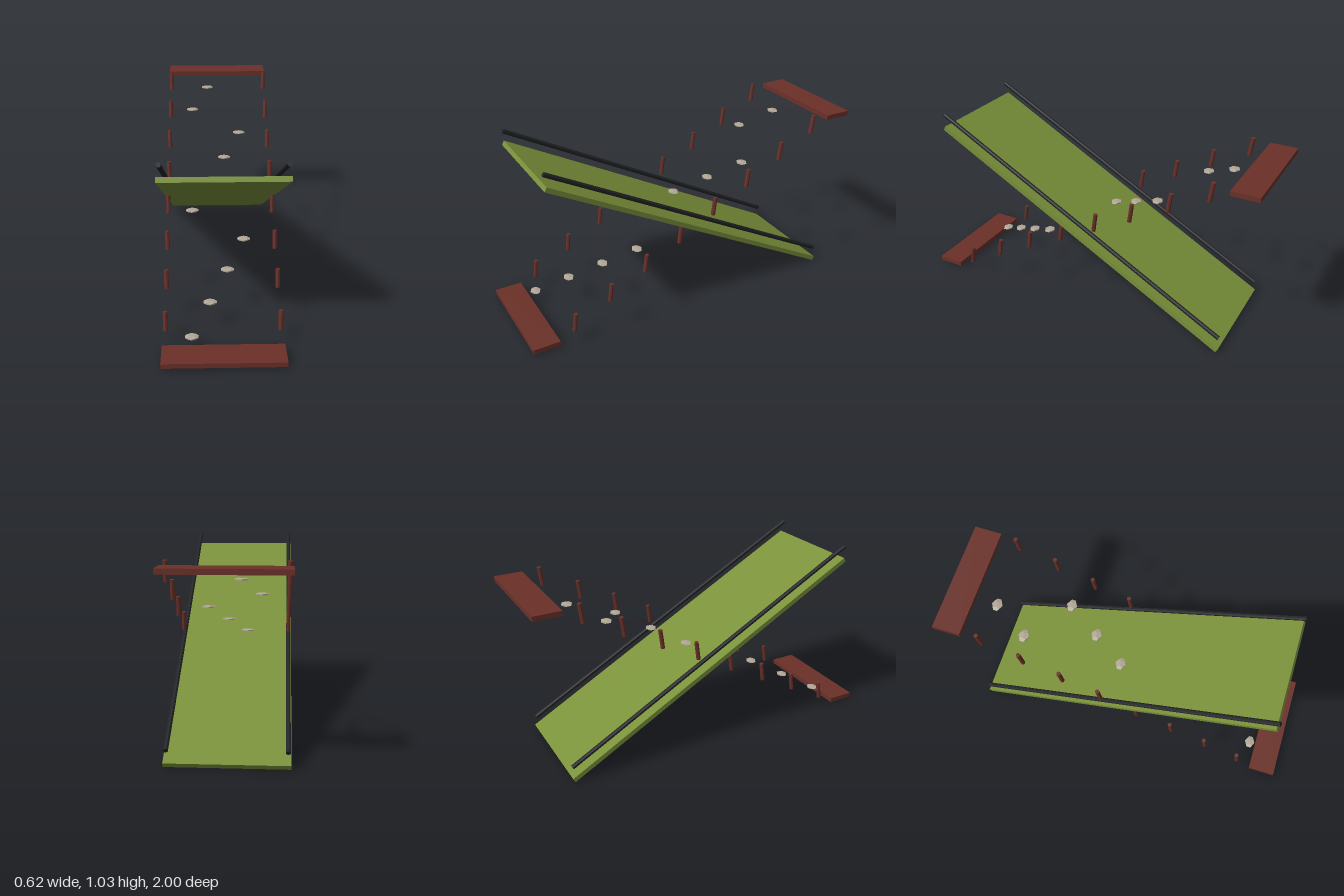
import * as THREE from 'three';

export function createModel() {
  const group = new THREE.Group();
  const make = (name, color) => {
    const m = new THREE.MeshStandardMaterial({ color });
    m.name = name;
    return m;
  };
  const green = make('moss green', 0x7a913a);
  const brown = make('red brown wood', 0x6b3129);
  const black = make('dark rail', 0x222326);
  const stone = make('pale stone', 0xb3a898);
  for (const m of [green, brown, black, stone]) m.flatShading = true;

  const add = (name, geometry, material, x, y, z, tilt = 0) => {
    const mesh = new THREE.Mesh(geometry, material);
    mesh.name = name;
    mesh.position.set(x, y, z);
    mesh.rotation.x = tilt;
    group.add(mesh);
    return mesh;
  };

  // Sloping deck, high at the front, with a rail floating over each edge
  const slope = -0.5;
  const length = 1.95;
  add('deck', new THREE.BoxGeometry(0.622, 0.026, length), green, 0, 0.482, 0, slope);
  const railGeometry = new THREE.CylinderGeometry(0.0125, 0.0125, length, 8)
    .rotateY(Math.PI / 8)
    .rotateX(Math.PI / 2);
  for (const side of [-1, 1]) add('rail', railGeometry, black, side * 0.295, 0.556, 0, slope);

  // End planks, low at the front and high at the back
  const plank = new THREE.BoxGeometry(0.622, 0.027, 0.152);
  add('frontPlank', plank, brown, 0, 0.027, 0.924);
  add('backPlank', plank, brown, 0, 0.967, -0.924);

  // Pairs of leaning posts climbing toward the back
  const postGeometry = new THREE.CylinderGeometry(0.012, 0.012, 0.106, 8);
  for (let i = 0; i < 8; i++) {
    for (const side of [-1, 1]) {
      add('post', postGeometry, brown, side * 0.295, 0.12 + i * 0.1175, 0.753 - i * 0.215, -0.13);
    }
  }

  // Flat stepping stones, shifting sideways in a cycle of four
  const stoneGeometry = new THREE.DodecahedronGeometry(0.0375).scale(1, 0.19, 0.85);
  for (let i = 0; i < 10; i++) {
    add('steppingStone', stoneGeometry, stone,
      -0.16 + (i % 4) * 0.095, 0.063 + i * 0.0936, 0.81 - i * 0.1725);
  }
  return group;
}
